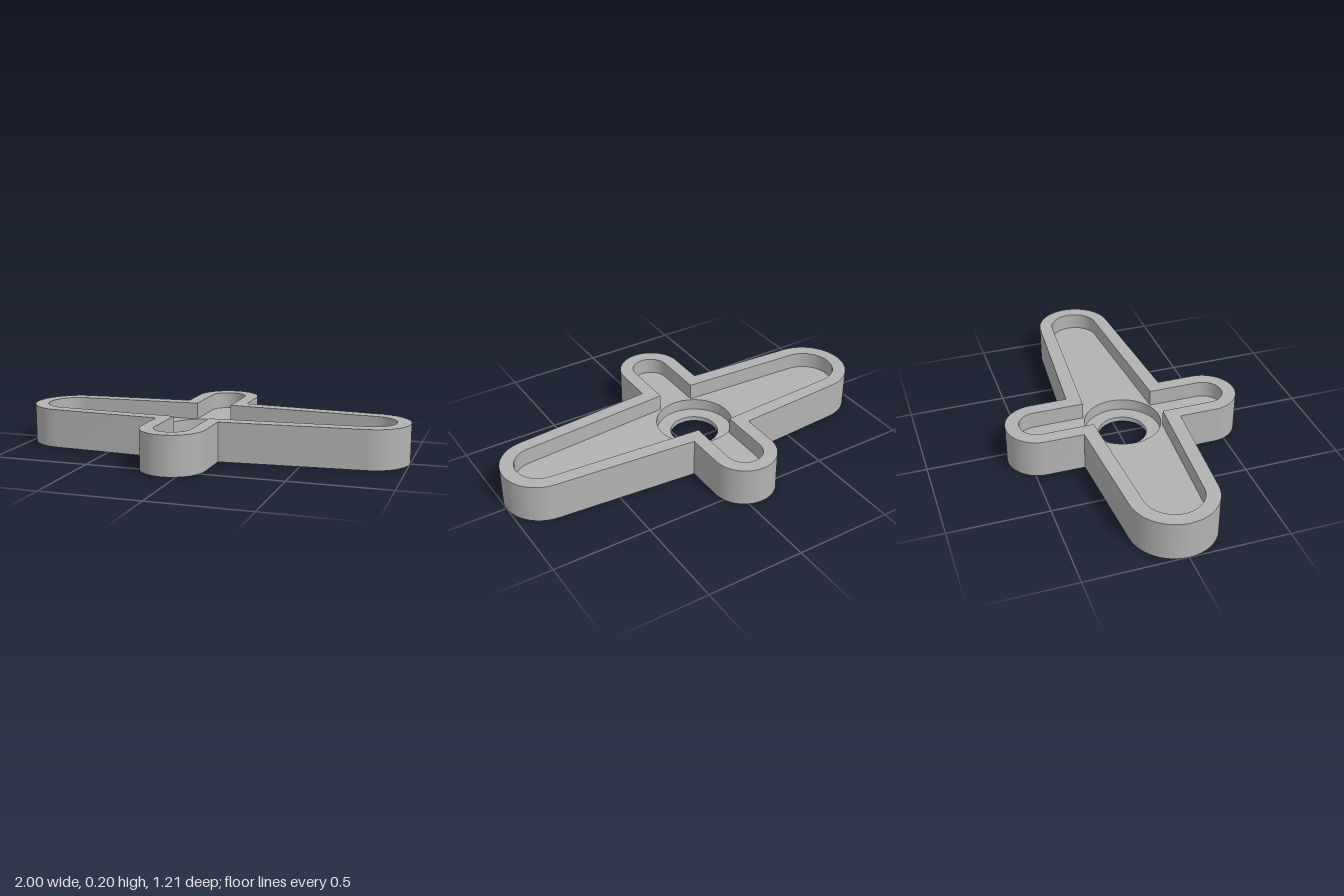
import * as THREE from 'three';
import { mergeVertices, toCreasedNormals } from 'three/addons/utils/BufferGeometryUtils.js';

const HUB_X = -0.067;
const Q = Math.PI / 2;

// Cross-shaped outline: two tapered long arms, two short round arms; inset shrinks it evenly
function crossShape(inset) {
  const s = new THREE.Shape();
  const armR = 0.162 - inset;
  const cornerZ = 0.251 - inset;
  const tiltR = 0.075, tiltL = 0.061;
  s.absarc(0.805, 0, 0.195 - inset, -Q + tiltR, Q - tiltR, false);
  s.lineTo(HUB_X + armR, cornerZ);
  s.absarc(HUB_X, 0.443, armR, 0, Math.PI, false);
  s.lineTo(HUB_X - armR, cornerZ);
  s.absarc(-0.785, 0, 0.215 - inset, Q + tiltL, 3 * Q - tiltL, false);
  s.lineTo(HUB_X - armR, -cornerZ);
  s.absarc(HUB_X, -0.443, armR, Math.PI, 2 * Math.PI, false);
  s.lineTo(HUB_X + armR, -cornerZ);
  s.closePath();
  return s;
}

function circleShape(r) {
  const s = new THREE.Shape();
  s.absarc(HUB_X, 0, r, 0, Math.PI * 2, false);
  return s;
}

// Flat horizontal face with an optional hole, facing up or down
function face(shape, hole, y, up) {
  const s = shape.clone();
  if (hole) s.holes.push(hole);
  const g = new THREE.ShapeGeometry(s, 24);
  g.rotateX(up ? -Q : Q);
  g.translate(0, y, 0);
  return g;
}

// Upright wall along an outline, facing outward, or inward for pockets and bores
function wall(shape, y0, y1, inward) {
  const pts = shape.getPoints(24);
  if (inward) pts.reverse();
  const pos = [];
  pts.forEach((a, i) => {
    const b = pts[(i + 1) % pts.length];
    if (a.distanceTo(b) < 1e-5) return;
    pos.push(a.x, y0, -a.y, b.x, y0, -b.y, b.x, y1, -b.y);
    pos.push(a.x, y0, -a.y, b.x, y1, -b.y, a.x, y1, -a.y);
  });
  const g = new THREE.BufferGeometry();
  g.setAttribute('position', new THREE.Float32BufferAttribute(pos, 3));
  return toCreasedNormals(mergeVertices(g), 0.5);
}

export function createModel() {
  const group = new THREE.Group();
  group.name = 'crossArm';
  const grey = new THREE.MeshStandardMaterial({ color: 0xb2b2b2 });
  grey.name = 'grey';

  const add = (name, geometry) => {
    const m = new THREE.Mesh(geometry, grey);
    m.name = name;
    group.add(m);
  };

  const outer = crossShape(0);
  const pocket = crossShape(0.069);
  const hub = circleShape(0.195);
  const bore = circleShape(0.122);
  const under = circleShape(0.212);

  // Levels from the bottom up
  const underY = 0.03, hubY = 0.055, floorY = 0.115, topY = 0.2;

  // Body
  add('outerWall', wall(outer, 0, topY, false));
  add('topRim', face(outer, pocket, topY, true));
  add('underside', face(outer, under, 0, false));

  // Pocket in the top
  add('pocketWall', wall(pocket, floorY, topY, true));
  add('pocketFloor', face(pocket, hub, floorY, true));

  // Stepped hub with a through hole
  add('hubWall', wall(hub, hubY, floorY, true));
  add('hubFloor', face(hub, bore, hubY, true));
  add('boreWall', wall(bore, underY, hubY, true));
  add('undersideRecessFloor', face(under, bore, underY, false));
  add('undersideRecessWall', wall(under, 0, underY, true));

  return group;
}
